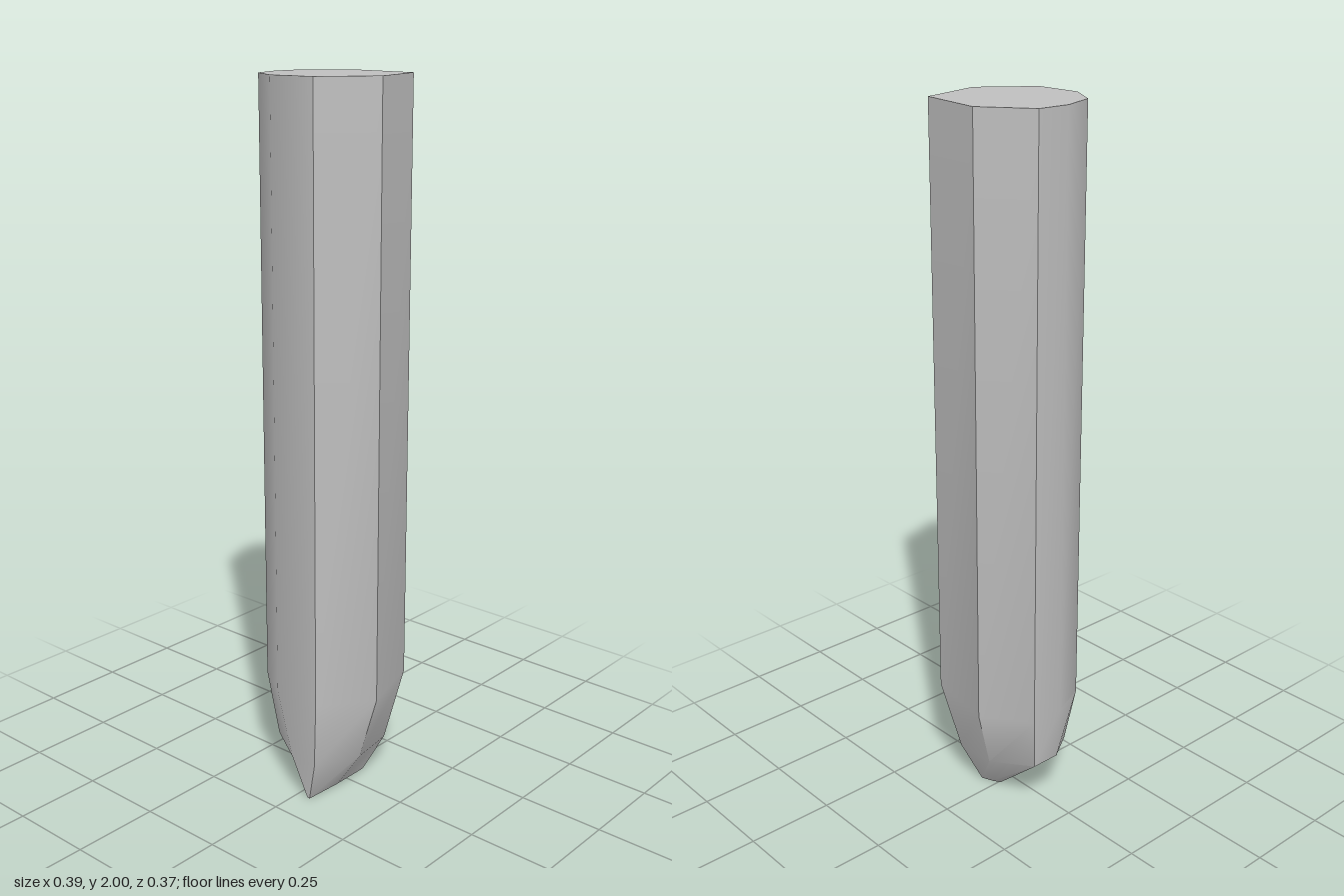
import * as THREE from 'three';
import { toCreasedNormals } from 'three/addons/utils/BufferGeometryUtils.js';

// Cross-sections, each corner as [x, z], in the same order around the stake.
const SHAFT = [[-0.07, -0.185], [0.137, -0.153], [0.196, 0.044], [0.093, 0.183],
  [-0.05, 0.183], [-0.155, 0.115], [-0.199, 0.007], [-0.199, -0.091]];
// Taper and tip corners as [x, y, z].
const TAPER = [[-0.045, 0.13, -0.125], [0.1, 0.11, -0.11], [0.132, 0.12, 0.04], [0.073, 0.12, 0.167],
  [-0.012, 0.12, 0.166], [-0.11, 0.14, 0.115], [-0.19, 0.165, 0.005], [-0.19, 0.165, -0.08]];
const TIP = [[0.015, 0, -0.058], [0.05, 0, -0.072], [0.05, 0, 0.04], [0.043, 0, 0.155],
  [0.035, 0, 0.155], [0.01, 0, 0.105], [-0.01, 0, 0.05], [-0.005, 0, -0.045]];

function loft(rings) {
  const n = rings[0].length;
  const index = [];
  for (let r = 0; r < rings.length - 1; r++) {
    for (let i = 0; i < n; i++) {
      const j = (i + 1) % n;
      const a = r * n + i, b = r * n + j, c = b + n, d = a + n;
      index.push(a, b, c, a, c, d);
    }
  }
  // End caps
  const last = (rings.length - 1) * n;
  for (let i = 1; i < n - 1; i++) {
    index.push(0, i + 1, i);
    index.push(last, last + i, last + i + 1);
  }
  const geometry = new THREE.BufferGeometry();
  geometry.setAttribute('position', new THREE.Float32BufferAttribute(rings.flat(2), 3));
  geometry.setIndex(index);
  return toCreasedNormals(geometry, 0.61);
}

export function createModel() {
  const group = new THREE.Group();
  group.name = 'stake';
  const grey = new THREE.MeshStandardMaterial({ color: 0xc0c0c0 });
  grey.name = 'grey';

  // Faceted shaft tapering to a thin, slanted point
  const level = (y) => SHAFT.map(([x, z]) => [x, y, z]);
  const shaft = new THREE.Mesh(loft([level(2), level(0.32), TAPER, TIP]), grey);
  shaft.name = 'pointedShaft';
  group.add(shaft);
  return group;
}
